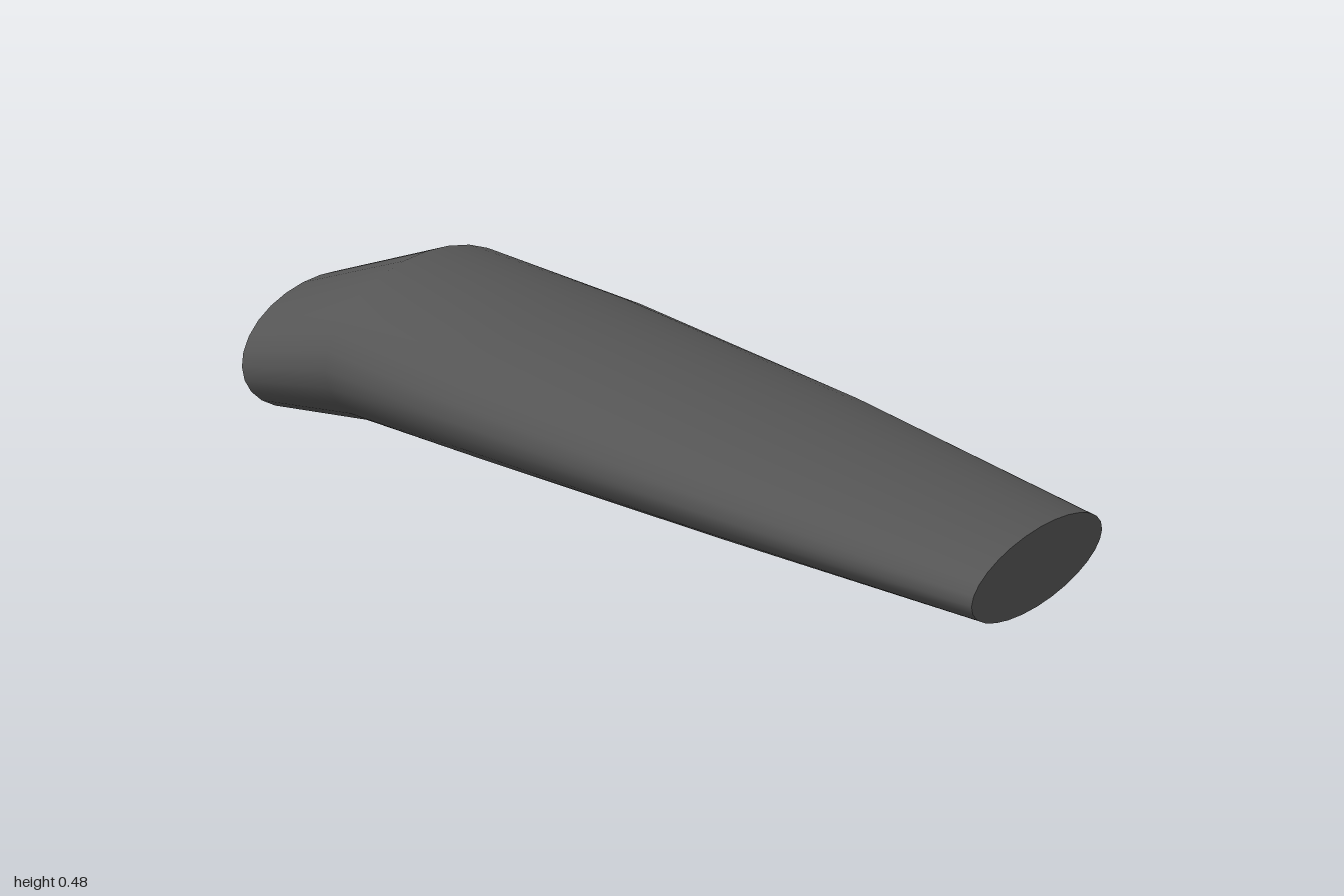
import * as THREE from 'three';

const SIDES = 28;

// Cross-sections along x: [x, bottom, top, half width in z]
const SECTIONS = [
  [-1, 0.045, 0.365, 0.28],
  [-0.66, 0.085, 0.483, 0.358],
  [-0.26, 0.078, 0.42, 0.38],
  [0.37, 0.045, 0.306, 0.346],
  [1, 0.002, 0.18, 0.268],
];

// Smooth skin lofted through the elliptical sections
function loft(sections) {
  const positions = [];
  const indices = [];
  sections.forEach(([x, bottom, top, halfWidth], i) => {
    for (let j = 0; j < SIDES; j++) {
      const a = (j / SIDES) * Math.PI * 2;
      positions.push(x, (top + bottom) / 2 + (Math.cos(a) * (top - bottom)) / 2, Math.sin(a) * halfWidth);
      if (i === sections.length - 1) continue;
      const p = i * SIDES + j;
      const q = i * SIDES + ((j + 1) % SIDES);
      indices.push(p, q, p + SIDES, q, q + SIDES, p + SIDES);
    }
  });
  const geometry = new THREE.BufferGeometry();
  geometry.setAttribute('position', new THREE.Float32BufferAttribute(positions, 3));
  geometry.setIndex(indices);
  geometry.computeVertexNormals();
  return geometry;
}

// Flat elliptical end, facing along x in the given direction
function endCap([x, bottom, top, halfWidth], direction) {
  const geometry = new THREE.CircleGeometry(1, SIDES);
  geometry.rotateY((direction * Math.PI) / 2);
  geometry.scale(1, (top - bottom) / 2, halfWidth);
  geometry.translate(x, (top + bottom) / 2, 0);
  return geometry;
}

export function createModel() {
  const group = new THREE.Group();
  group.name = 'taperedLimb';
  const material = new THREE.MeshStandardMaterial({ color: 0x555555 });
  const add = (name, geometry) => {
    const mesh = new THREE.Mesh(geometry, material);
    mesh.name = name;
    group.add(mesh);
  };

  add('sleeve', loft(SECTIONS));
  add('wideEndCap', endCap(SECTIONS[0], -1));
  add('narrowEndCap', endCap(SECTIONS[SECTIONS.length - 1], 1));
  return group;
}
